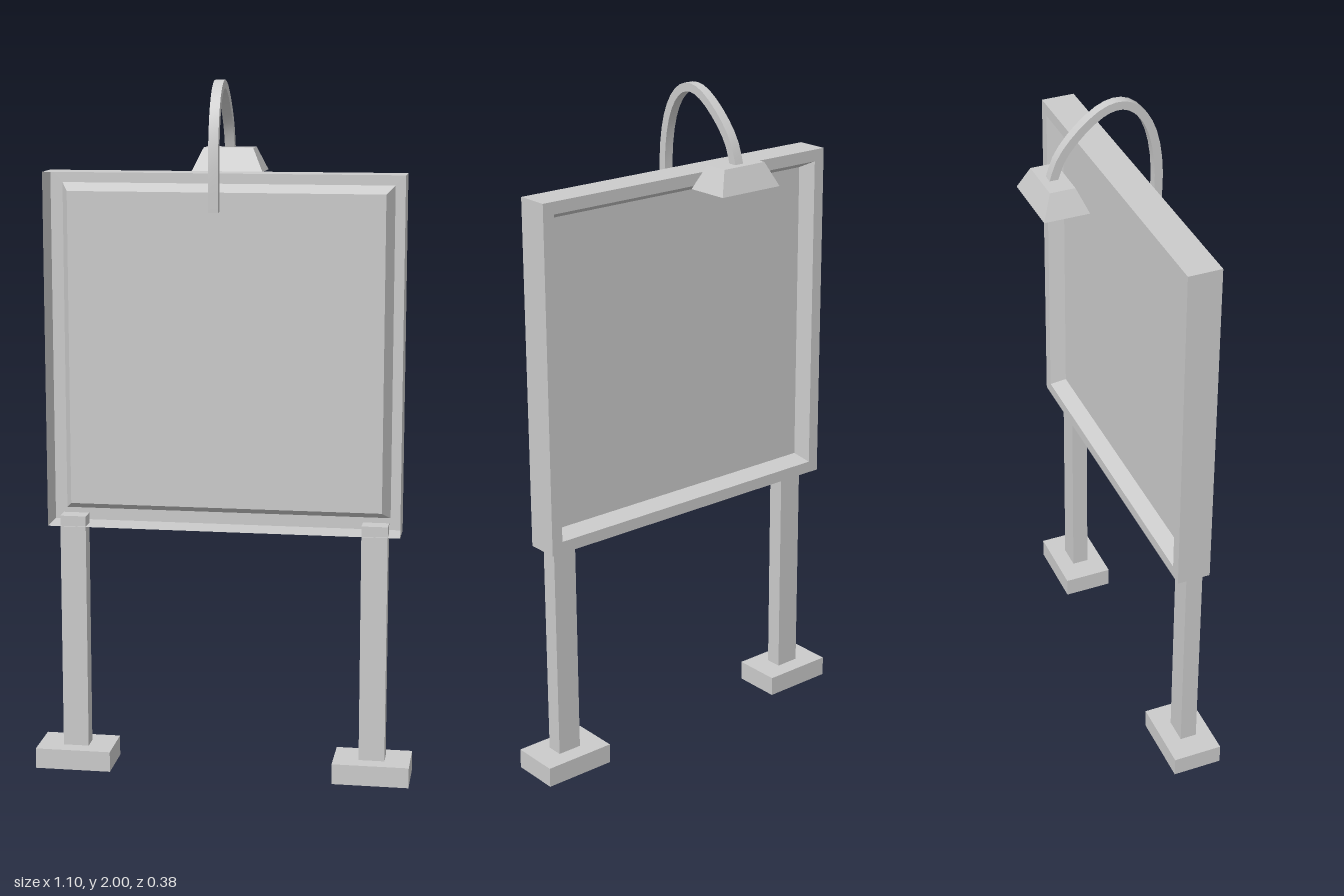
import * as THREE from 'three';
import { toCreasedNormals } from 'three/addons/utils/BufferGeometryUtils.js';

const solid = new THREE.MeshStandardMaterial({ color: 0xcccccc });
const shell = new THREE.MeshStandardMaterial({ color: 0xcccccc, side: THREE.DoubleSide });

// Open-bottomed shell through rectangular rings [halfX, halfZ, y], capped at the last ring.
function ringShell(rings) {
  const pos = [];
  const corners = rings.map(([a, b, y]) => [[-a, y, b], [a, y, b], [a, y, -b], [-a, y, -b]]);
  const quad = (a, b, c, d) => pos.push(...a, ...b, ...c, ...a, ...c, ...d);
  for (let r = 0; r < rings.length - 1; r++) {
    for (let i = 0; i < 4; i++) {
      const j = (i + 1) % 4;
      quad(corners[r][i], corners[r][j], corners[r + 1][j], corners[r + 1][i]);
    }
  }
  quad(...corners[corners.length - 1]);
  const geo = new THREE.BufferGeometry();
  geo.setAttribute('position', new THREE.Float32BufferAttribute(pos, 3));
  geo.computeVertexNormals();
  return geo;
}

// Curved strip of rectangular section: a side outline in (z, y), extruded along x.
function armGeometry(points, thickness, width) {
  const curve = new THREE.SplineCurve(points.map(([z, y]) => new THREE.Vector2(z, y)));
  const n = 20, outer = [], inner = [];
  for (let i = 0; i <= n; i++) {
    const p = curve.getPoint(i / n), t = curve.getTangent(i / n);
    const normal = new THREE.Vector2(-t.y, t.x).multiplyScalar(thickness / 2);
    outer.push(p.clone().add(normal));
    inner.push(p.clone().sub(normal));
  }
  const shape = new THREE.Shape([...outer, ...inner.reverse()]);
  const geo = new THREE.ExtrudeGeometry(shape, { depth: width, bevelEnabled: false });
  geo.translate(0, 0, -width / 2).rotateY(-Math.PI / 2);
  return toCreasedNormals(geo, 0.6);
}

export function createModel() {
  const model = new THREE.Group();
  model.name = 'lampLitSignboard';
  const add = (name, geo, mat, x, y, z) => {
    const mesh = new THREE.Mesh(geo, mat);
    mesh.name = name;
    mesh.position.set(x, y, z);
    model.add(mesh);
    return mesh;
  };

  // Board: outer walls open at the front, rim at the back, sloped recess and panel
  const board = ringShell([
    [0.51, 0.51, -0.145], [0.51, 0.51, -0.047], [0.475, 0.475, -0.047], [0.453, 0.453, -0.09],
  ]).rotateX(-Math.PI / 2);
  add('boardFrame', board, shell, 0, 1.235, 0);

  // Posts reach a little way into the frame; feet are hollow underneath
  for (const side of [-1, 1]) {
    const prefix = side > 0 ? 'left' : 'right';
    add(prefix + 'Post', new THREE.BoxGeometry(0.075, 0.695, 0.05), solid, side * 0.437, 0.4075, 0.115);
    add(prefix + 'Foot', ringShell([[0.111, 0.074, 0], [0.111, 0.074, 0.06]]), shell, side * 0.437, 0, 0.113);
  }

  // Gooseneck arm curving over the top of the board
  const armPath = [
    [0.174, 1.64], [0.177, 1.77], [0.163, 1.87], [0.135, 1.938], [0.095, 1.978],
    [0.05, 1.987], [0, 1.968], [-0.06, 1.918], [-0.105, 1.86], [-0.127, 1.8],
  ];
  add('lampArm', armGeometry(armPath, 0.024, 0.028), solid, -0.017, 0, 0);

  // Lamp shade, open below
  add('lampShade', ringShell([[0.103, 0.065, 0], [0.072, 0.036, 0.067]]), shell, -0.017, 1.737, -0.124);

  return model;
}
